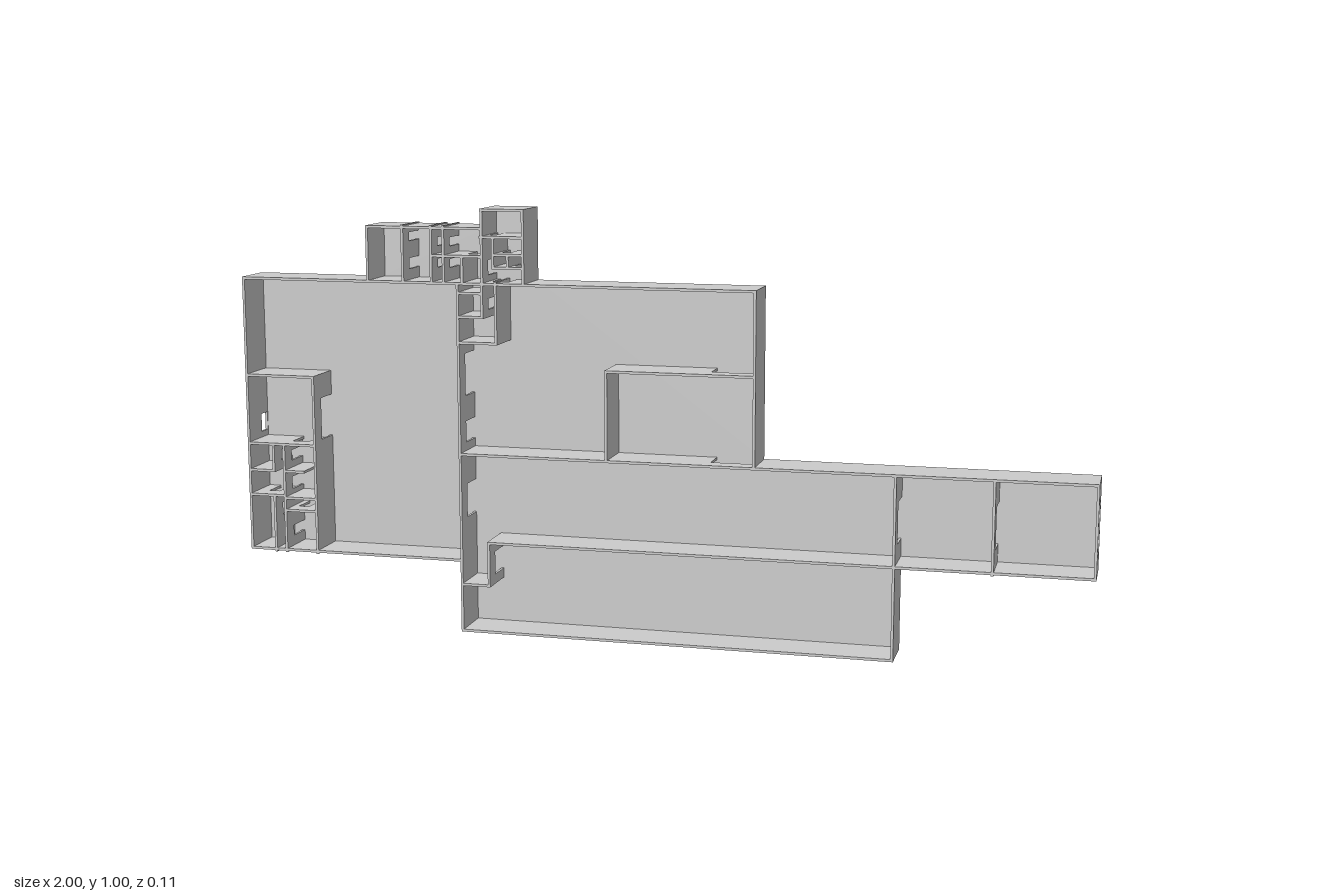
import * as THREE from 'three';

const T = 0.006;          // wall thickness
const FRONT = 0.054, BACK = -0.054, LINTEL = 0.015;
const material = new THREE.MeshStandardMaterial({ color: 0xcccccc, flatShading: true });

export function createModel() {
  const model = new THREE.Group();

  const addTo = (parent, name, geometry) => {
    const mesh = new THREE.Mesh(geometry, material);
    mesh.name = name;
    parent.add(mesh);
    return mesh;
  };

  // One straight wall; each opening is [start, end, zLow, zHigh] along its axis
  function wall(parent, name, x1, y1, x2, y2, openings = []) {
    const vertical = x1 === x2;
    const piece = (a, b, z0, z1) => {
      if (b - a < 1e-4 || z1 - z0 < 1e-4) return;
      const g = vertical ? new THREE.BoxGeometry(T, b - a, z1 - z0) : new THREE.BoxGeometry(b - a, T, z1 - z0);
      const m = addTo(parent, name, g);
      const mid = (a + b) / 2;
      m.position.set(vertical ? x1 : mid, vertical ? mid : y1, (z0 + z1) / 2);
    };
    let at = (vertical ? y1 : x1) - T / 2;
    const end = (vertical ? y2 : x2) + T / 2;
    for (const [a, b, lo = BACK, hi = LINTEL] of openings) {
      piece(at, a, BACK, FRONT);
      piece(a, b, BACK, lo);
      piece(a, b, hi, FRONT);
      at = b;
    }
    piece(at, end, BACK, FRONT);
  }

  const section = (name, walls) => {
    const group = new THREE.Group();
    group.name = name;
    for (const w of walls) wall(group, 'wall', ...w);
    model.add(group);
  };

  // Floor slab following the plan outline
  const outline = [
    [-1, 0.17], [-0.465, 0.17], [-0.465, 0], [0.56, 0], [0.56, 0.215], [1, 0.215], [1, 0.43],
    [0.24, 0.43], [0.24, 0.83], [-0.3, 0.83], [-0.3, 1], [-0.405, 1], [-0.405, 0.957],
    [-0.685, 0.957], [-0.685, 0.83], [-1, 0.83],
  ];
  const slab = new THREE.Shape(outline.map(([x, y]) => new THREE.Vector2(x, y)));
  addTo(model, 'floorSlab', new THREE.ExtrudeGeometry(slab, { depth: T, bevelEnabled: false })).position.z = BACK;

  // Outer walls, inset by half a thickness
  const h = T / 2;
  section('outerWalls', [
    [-1 + h, 0.17 + h, -1 + h, 0.83 - h, [[0.447, 0.49, -0.046, -0.013]]],
    [-1 + h, 0.17 + h, -0.465 + h, 0.17 + h],
    [-0.465 + h, h, -0.465 + h, 0.17 + h],
    [-0.465 + h, h, 0.56 - h, h],
    [0.56 - h, h, 0.56 - h, 0.215],
    [0.56 - h, 0.215 + h, 1 - h, 0.215 + h],
    [1 - h, 0.215 + h, 1 - h, 0.43 - h, [[0.263, 0.38, -0.042, 0.042]]],
    [0.24 - h, 0.43 - h, 1 - h, 0.43 - h],
    [0.24 - h, 0.43 - h, 0.24 - h, 0.83 - h],
    [-1 + h, 0.83 - h, 0.24 - h, 0.83 - h, [[-0.39, -0.35]]],
    [-0.3 - h, 0.83, -0.3 - h, 1 - h],
    [-0.405 + h, 1 - h, -0.3 - h, 1 - h],
    [-0.405 + h, 0.83, -0.405 + h, 1 - h, [[0.845, 0.88]]],
    [-0.685 + h, 0.957 - h, -0.405 + h, 0.957 - h],
    [-0.685 + h, 0.83, -0.685 + h, 0.957 - h],
  ]);

  // Main halls and corridor
  section('hallWalls', [
    [-0.465 + h, 0.17, -0.465 + h, 0.83 - h, [[0.27, 0.35], [0.45, 0.5], [0.56, 0.66]]],
    [-0.465 + h, 0.43 - h, 0.24 - h, 0.43 - h, [[0.13, 0.225]]],
    [-0.395, 0.215 + h, 0.56 - h, 0.215 + h],
    [0.56 - h, 0.215, 0.56 - h, 0.43 - h, [[0.263, 0.36]]],
    [0.775, 0.215, 0.775, 0.43 - h, [[0.263, 0.36]]],
    [-0.395, 0.115, -0.395, 0.215, [[0.135, 0.19]]],
    [-0.465 + h, 0.115, -0.395, 0.115],
  ]);

  // Room inside the upper right hall
  section('innerRoom', [
    [-0.108, 0.43, -0.108, 0.635],
    [-0.108, 0.635, 0.24 - h, 0.635, [[0.13, 0.225]]],
  ]);

  // Side suite at the left edge
  section('sideSuite', [
    [-0.828, 0.17, -0.828, 0.595, [[0.44, 0.54]]],
    [-1 + h, 0.595, -0.828, 0.595],
    [-1 + h, 0.43, -0.828, 0.43, [[-0.9, -0.86]]],
    [-0.935, 0.365, -0.935, 0.43, [[0.385, 0.41]]],
    [-0.908, 0.17, -0.908, 0.43, [[0.2, 0.225], [0.315, 0.345], [0.385, 0.41]]],
    [-0.935, 0.17, -0.935, 0.3, [[0.25, 0.28]]],
    [-1 + h, 0.365, -0.935, 0.365],
    [-1 + h, 0.305, -0.908, 0.305, [[-0.965, -0.94]]],
    [-0.908, 0.3, -0.828, 0.3],
    [-0.908, 0.27, -0.828, 0.27, [[-0.89, -0.865]]],
    [-0.908, 0.365, -0.86, 0.365],
  ]);

  // Stair room below the tower
  section('stairRoom', [
    [-0.465 + h, 0.69, -0.37, 0.69],
    [-0.37, 0.69, -0.37, 0.83],
    [-0.403, 0.75, -0.403, 0.83, [[0.765, 0.79]]],
    [-0.465 + h, 0.805, -0.403, 0.805],
    [-0.465 + h, 0.75, -0.403, 0.75],
  ]);

  // Small rooms of the top annex and tower
  section('annexRooms', [
    [-0.595, 0.83, -0.595, 0.957, [[0.855, 0.88], [0.92, 0.94]]],
    [-0.525, 0.83, -0.525, 0.957, [[0.86, 0.88], [0.91, 0.93]]],
    [-0.495, 0.83, -0.495, 0.957, [[0.86, 0.88], [0.91, 0.93]]],
    [-0.525, 0.89, -0.405, 0.89, [[-0.515, -0.5], [-0.45, -0.425]]],
    [-0.45, 0.83, -0.45, 0.89],
    [-0.405, 0.935, -0.3 - h, 0.935, [[-0.395, -0.375]]],
    [-0.375, 0.87, -0.375, 0.935],
    [-0.375, 0.895, -0.3 - h, 0.895, [[-0.365, -0.345]]],
    [-0.375, 0.865, -0.3 - h, 0.865, [[-0.335, -0.315]]],
    [-0.34, 0.865, -0.34, 0.895],
  ]);

  return model;
}
